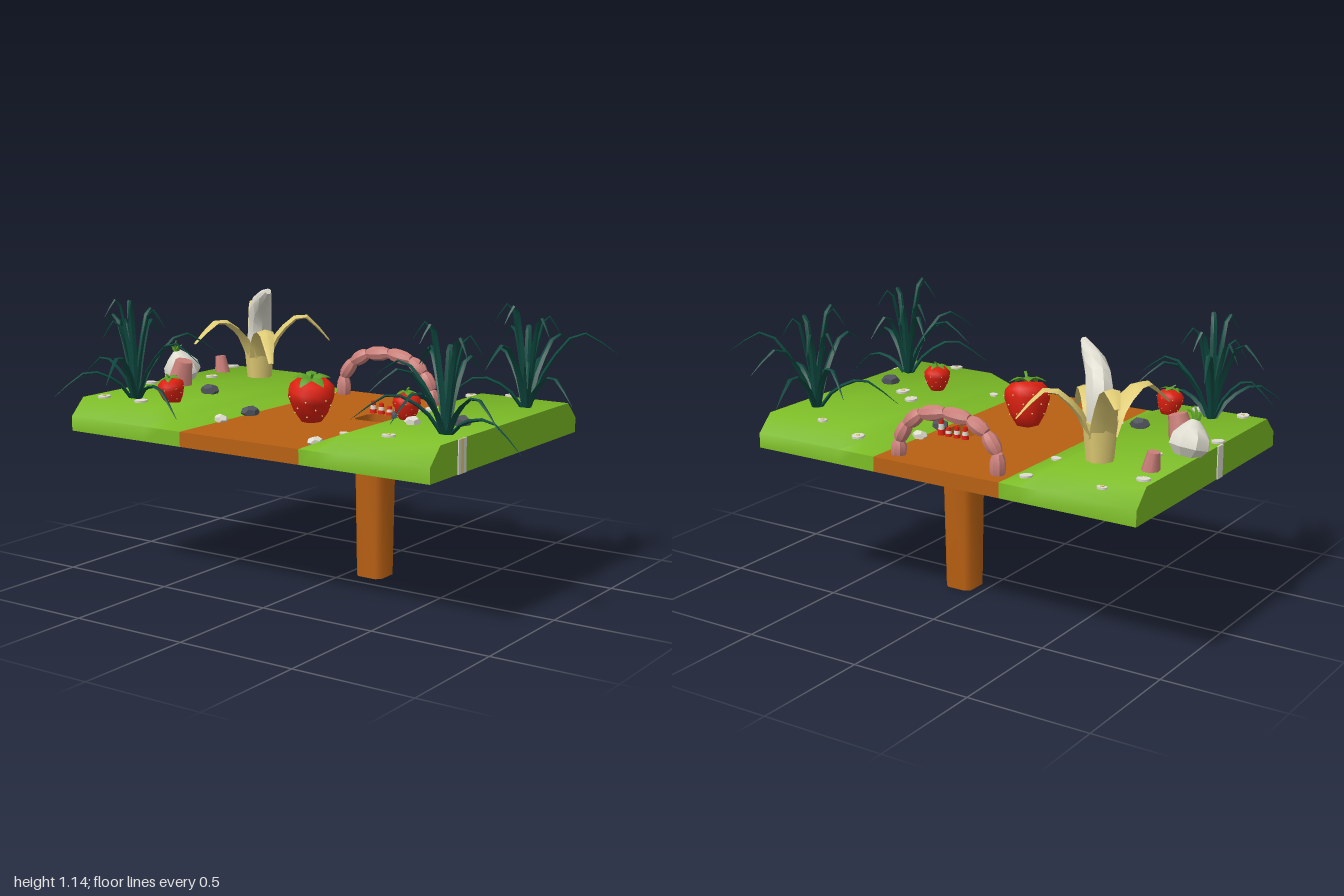
import * as THREE from 'three';
import { toCreasedNormals } from 'three/addons/utils/BufferGeometryUtils.js';

const V = (x, y, z) => new THREE.Vector3(x, y, z);
const mat = (name, color, both) => {
  const m = new THREE.MeshStandardMaterial({ color });
  m.name = name;
  if (both) m.side = THREE.DoubleSide;
  return m;
};

// Skin a list of equal-length sections
function loft(sections, closed, crease) {
  const n = sections[0].length, pos = [], idx = [];
  sections.forEach(s => s.forEach(p => pos.push(p.x, p.y, p.z)));
  for (let i = 0; i < sections.length - 1; i++)
    for (let j = 0; j < (closed ? n : n - 1); j++) {
      const a = i * n + j, b = i * n + (j + 1) % n;
      idx.push(a, b, a + n, b, b + n, a + n);
    }
  const g = new THREE.BufferGeometry();
  g.setAttribute('position', new THREE.Float32BufferAttribute(pos, 3));
  g.setIndex(idx);
  return toCreasedNormals(g, crease);
}

// Tapered, capped tube: side is the direction of the wide axis, flat its thickness ratio
function limb(points, radius, { steps = 7, sides = 4, side = V(1, 0, 0), flat = 1, crease = 0.7 } = {}) {
  const curve = new THREE.CatmullRomCurve3(points), sections = [];
  const ring = (t, r) => {
    const c = curve.getPoint(t), T = curve.getTangent(t);
    const N = side.clone().addScaledVector(T, -T.dot(side)).normalize();
    const B = T.clone().cross(N);
    sections.push(Array.from({ length: sides }, (_, j) => {
      const a = j / sides * Math.PI * 2;
      return c.clone().addScaledVector(N, r * Math.cos(a)).addScaledVector(B, r * flat * Math.sin(a));
    }));
  };
  ring(0, 0);
  for (let i = 0; i <= steps; i++) ring(i / steps, radius(i / steps));
  ring(1, 0);
  return loft(sections, true, crease);
}

const LOW = 0.66, TOP = 0.73, BASE = 0.6, FRONT = 0.54, BACK = -0.6;
const clamp = (v, a, b) => Math.min(b, Math.max(a, v));
function groundY(x, z) {
  const slope = x > 0 ? (x - 0.2) / 0.17 : (-0.37 - x) / 0.18;
  const edge = Math.min(FRONT - z, z - BACK) / 0.07;
  return LOW + (TOP - LOW) * clamp(Math.min(slope, edge), 0, 1);
}

export function createModel() {
  const grass = mat('grass green', 0x7cbc26, true), soil = mat('soil orange', 0xb86012, true);
  const red = mat('fruit red', 0xdc2010), blade = mat('dark teal', 0x0e483f);
  const stone = mat('slate grey', 0x50545c), white = mat('off white', 0xdedccf);
  const pink = mat('sausage pink', 0xcc807a), yellow = mat('peel yellow', 0xdfcb74, true);
  const leaf = mat('leaf green', 0x5a9e26);
  const model = new THREE.Group();
  const add = (name, geo, m, x = 0, y = 0, z = 0, parent = model) => {
    const mesh = new THREE.Mesh(geo, m);
    mesh.name = name;
    mesh.position.set(x, y, z);
    parent.add(mesh);
    return mesh;
  };
  const group = (name, x, y, z) => {
    const g = new THREE.Group();
    g.name = name;
    g.position.set(x, y, z);
    model.add(g);
    return g;
  };

  // Grass banks: hollow shells with sloped edges
  const section = (x, h, rim = LOW) =>
    [V(x, BASE, BACK), V(x, rim, BACK), V(x, h, BACK + 0.07), V(x, h, FRONT - 0.07), V(x, rim, FRONT), V(x, BASE, FRONT)];
  add('rightBank', loft([section(0.2, LOW), section(0.28, 0.695), section(0.37, TOP),
    section(0.77, TOP), section(0.77, BASE, BASE)], false, 0.9), grass);
  add('leftBank', loft([section(-0.94, BASE, BASE), section(-0.94, TOP), section(-0.55, TOP),
    section(-0.46, 0.695), section(-0.37, LOW)], false, 0.9), grass);

  // Soil path with a pit that continues down as the hollow post
  const outline = (r, c) => [[r, c - r], [r, r - c], [r - c, r], [c - r, r], [-r, r - c], [-r, c - r], [c - r, -r], [r - c, -r]];
  const px = 0.105, pz = -0.13;
  const shape = new THREE.Shape([[-0.37, -FRONT], [0.2, -FRONT], [0.2, -BACK], [-0.37, -BACK]].map(p => new THREE.Vector2(...p)));
  shape.holes.push(new THREE.Path(outline(0.07, 0.022).map(([x, y]) => new THREE.Vector2(px + x, y - pz))));
  add('path', new THREE.ShapeGeometry(shape).rotateX(-Math.PI / 2), soil, 0, LOW, 0);
  add('pathFront', new THREE.PlaneGeometry(0.57, LOW - BASE), soil, -0.085, 0.63, FRONT);
  add('pathBack', new THREE.PlaneGeometry(0.57, LOW - BASE).rotateY(Math.PI), soil, -0.085, 0.63, BACK);
  const post = [[0, 0.0001], [0, 0.061], [LOW, 0.07]].map(([y, r]) =>
    outline(r, r * 0.32).reverse().map(([x, z]) => V(px + x, y, pz + z)));
  add('post', loft(post, true, 0.9), soil);

  // Side stripes
  [[0.338, white], [0.319, yellow], [0.3, white]].forEach(([z, m]) =>
    add('rightStripe', new THREE.BoxGeometry(0.008, 0.13, 0.019), m, 0.77, 0.665, z));
  add('leftStripe', new THREE.BoxGeometry(0.008, 0.13, 0.045), white, -0.94, 0.665, 0.05);

  // Grass tufts: long arching blades [dx, dz, tip height] plus short upright ones
  const tuft = (x, z, tips) => {
    const g = group('grassTuft', x, TOP - 0.03, z);
    const all = tips.slice();
    for (let i = 0; i < 6; i++) {
      const a = i * 2.4 + x * 5;
      all.push([Math.cos(a) * 0.13, Math.sin(a) * 0.13, 0.27 + (i % 3) * 0.05]);
    }
    all.forEach(([dx, dz, h]) => {
      const lift = 0.1 + Math.max(0, h) * 0.62;
      add('blade', limb([V(0, 0, 0), V(dx * 0.22, lift * 0.75, dz * 0.22),
        V(dx * 0.58, lift + h * 0.3, dz * 0.58), V(dx, h, dz)],
        t => 0.001 + 0.018 * (1 - t) * (0.7 + 1.2 * t), { side: V(-dz, 0, dx).normalize(), flat: 0.5 }), blade, 0, 0, 0, g);
    });
  };
  tuft(0.67, -0.36, [[-0.08, -0.34, 0.11], [0.06, -0.32, 0.22], [0.32, -0.15, 0.25], [0.27, 0.14, 0.08],
    [-0.01, 0.32, 0.22], [-0.3, -0.2, 0.15], [-0.3, 0.15, 0.05], [0.13, 0.24, 0.15]]);
  tuft(0.68, 0.28, [[0.31, -0.01, -0.02], [0.3, 0.15, 0.1], [-0.02, 0.35, 0.12], [-0.17, 0.27, 0.2],
    [-0.3, 0.18, 0.08], [-0.33, 0, 0.2], [-0.24, -0.2, 0.24], [0.03, -0.22, 0.22]]);
  tuft(-0.75, 0.36, [[-0.25, -0.08, 0.28], [-0.2, 0.27, 0.05], [0.14, 0.33, 0.14], [0.34, 0.15, 0],
    [0.3, -0.06, 0.18], [0.19, -0.3, 0.2], [-0.1, -0.28, 0.25], [-0.23, 0.07, 0.1]]);

  // Peeled banana
  const bx = -0.65, bz = -0.35;
  add('bananaBase', new THREE.CylinderGeometry(0.068, 0.05, 0.19, 8), yellow, bx, 0.785, bz);
  add('bananaFruit', limb([V(bx, 0.82, bz), V(-0.65, 0.94, -0.355), V(-0.61, 1.05, -0.31), V(-0.49, 1.13, -0.205)],
    t => 0.052 * (t < 0.5 ? 1 : 1 - 0.75 * (2 * t - 1) ** 2), { steps: 8, sides: 8 }), white);
  [[-0.84, -0.57, 1.0, 1.04], [-0.4, -0.53, 0.89, 1.0], [-0.4, -0.1, 0.84, 0.95], [-0.77, -0.05, 0.9, 0.99]]
    .forEach(([x, z, tip, peak]) => {
      const dx = x - bx, dz = z - bz, at = (k, y) => V(bx + dx * k, y, bz + dz * k);
      add('bananaPeel', limb([at(0.12, 0.82), at(0.28, 0.92), at(0.62, peak), at(1, tip)],
        t => 0.05 - 0.04 * t * t, { side: V(-dz, 0, dx).normalize(), flat: 0.3 }), yellow);
    });

  // Sausage arch
  const arch = [[-0.315, 0.64], [-0.315, 0.74], [-0.265, 0.81], [-0.19, 0.85], [-0.08, 0.86],
    [0.03, 0.84], [0.095, 0.79], [0.135, 0.72], [0.14, 0.64]].map(([x, y]) => V(x, y, -0.52));
  for (let i = 0; i < arch.length - 1; i++)
    add('archLink', limb([arch[i], arch[i].clone().lerp(arch[i + 1], 0.5), arch[i + 1]],
      t => 0.031 - 0.011 * Math.abs(2 * t - 1) ** 3, { steps: 4, sides: 8, side: V(0, 0, 1) }), pink);
  // Sausage stubs
  const stub = (x, z, r, h, tilt) => {
    const m = add('sausageStub', new THREE.CylinderGeometry(r * 0.65, r, h, 7), pink, x, TOP + h * 0.4, z);
    m.rotation.z = tilt;
  };
  stub(-0.87, -0.36, 0.036, 0.08, 0.15);
  stub(-0.79, 0.015, 0.058, 0.12, -0.25);

  // Strawberries with seeds, leaves and stalk; unit height scaled by s
  const strawberry = (x, y, z, s, tilt) => {
    const g = group('strawberry', x, y, z);
    g.scale.setScalar(s);
    g.rotation.set(tilt, x * 4, -tilt);
    const profile = [[0, 0], [0.22, 0.05], [0.36, 0.28], [0.47, 0.6], [0.46, 0.78], [0.32, 0.92], [0, 0.95]];
    add('berry', new THREE.LatheGeometry(profile.map(p => new THREE.Vector2(...p)), 12), red, 0, 0, 0, g);
    for (let row = 0; row < 3; row++)
      for (let i = 0; i < 7; i++) {
        const a = (i + row / 2) * Math.PI * 2 / 7, r = [0.36, 0.43, 0.475][row];
        add('seed', new THREE.IcosahedronGeometry(0.02, 0), yellow, r * Math.cos(a), [0.28, 0.47, 0.66][row], r * Math.sin(a), g);
      }
    for (let i = 0; i < 5; i++) {
      const a = i * Math.PI * 0.4, c = Math.cos(a), d = Math.sin(a);
      add('leaf', limb([V(0, 0.95, 0), V(c * 0.2, 1.01, d * 0.2), V(c * 0.4, 0.93, d * 0.4)],
        t => 0.01 + 0.1 * Math.sin(Math.PI * (0.15 + 0.85 * t)), { steps: 4, side: V(-d, 0, c), flat: 0.25 }), leaf, 0, 0, 0, g);
    }
    add('stalk', limb([V(0, 0.94, 0), V(0.02, 1.06, 0), V(0.1, 1.14, 0.04)], () => 0.035, { steps: 3 }), leaf, 0, 0, 0, g);
  };
  strawberry(-0.08, 0.655, 0.06, 0.2, 0.18);
  strawberry(0.41, 0.72, 0.12, 0.115, 0.1);
  strawberry(-0.57, 0.715, 0.33, 0.115, 0.1);

  // White bulb with green sprout
  const bulb = group('bulb', -0.885, TOP - 0.01, -0.12);
  bulb.rotation.set(0.25, 0, 0.1);
  const bulbProfile = [[0, 0], [0.05, 0.005], [0.08, 0.04], [0.075, 0.08], [0.045, 0.115], [0.018, 0.14], [0, 0.145]];
  add('bulbBody', toCreasedNormals(new THREE.LatheGeometry(bulbProfile.map(p => new THREE.Vector2(...p)), 8), 0.6), white, 0, 0, 0, bulb);
  for (const k of [-1, 0, 1])
    add('bulbSprout', limb([V(0, 0.13, 0), V(k * 0.015, 0.16, 0.005), V(0.02 + k * 0.025, 0.19 - 0.02 * k * k, 0.01)],
      t => 0.012 - 0.009 * t, { steps: 3 }), leaf, 0, 0, 0, bulb);

  // Red and white marker posts beside the pit
  [[0.035, 0.05], [0.075, 0.045], [0.115, 0.035], [0.15, 0.07]].forEach(([x, h]) => {
    for (let i = 0; i < 3; i++)
      add('markerBand', new THREE.CylinderGeometry(0.013 - i * 0.002, 0.015 - i * 0.002, h / 3, 8),
        i === 1 ? white : red, x, LOW + h * (i + 0.5) / 3, -0.22);
  });

  // Stones
  const rocks = (name, m, r, list) => list.forEach(([x, z], i) => {
    const rock = add(name, new THREE.DodecahedronGeometry(r, 0), m, x, groundY(x, z) + r * 0.25, z);
    rock.scale.set(1, 0.65, 0.85);
    rock.rotation.y = i * 1.3;
  });
  rocks('darkStone', stone, 0.042, [[-0.57, 0.1], [-0.36, 0.1], [0.205, -0.15], [0.64, 0.1]]);
  rocks('paleStone', white, 0.034, [[0.2, -0.3], [0.2, 0.43], [-0.37, 0.28], [0.48, 0.19], [-0.73, 0.18]]);

  // Flat daisies
  [[-0.78, -0.56], [-0.47, -0.57], [0.31, -0.55], [-0.47, -0.36], [-0.8, -0.2], [0.4, -0.08], [0.51, -0.52],
    [-0.92, 0.07], [-0.85, 0.44], [0.25, 0.31], [0.54, 0.45], [-0.66, 0.43], [0.25, -0.1], [-0.9, -0.48], [0.5, 0]]
    .forEach(([x, z], i) => {
      const y = groundY(x, z) + 0.006, r = 0.022 + (i % 3) * 0.005;
      const petals = add('daisyPetals', new THREE.CylinderGeometry(r, r, 0.008, 7), white, x, y, z);
      petals.scale.z = 0.8;
      petals.rotation.y = i;
      if (i % 2 === 0) add('daisyCentre', new THREE.CylinderGeometry(0.008, 0.008, 0.006, 6), yellow, x, y + 0.004, z);
    });

  return model;
}
